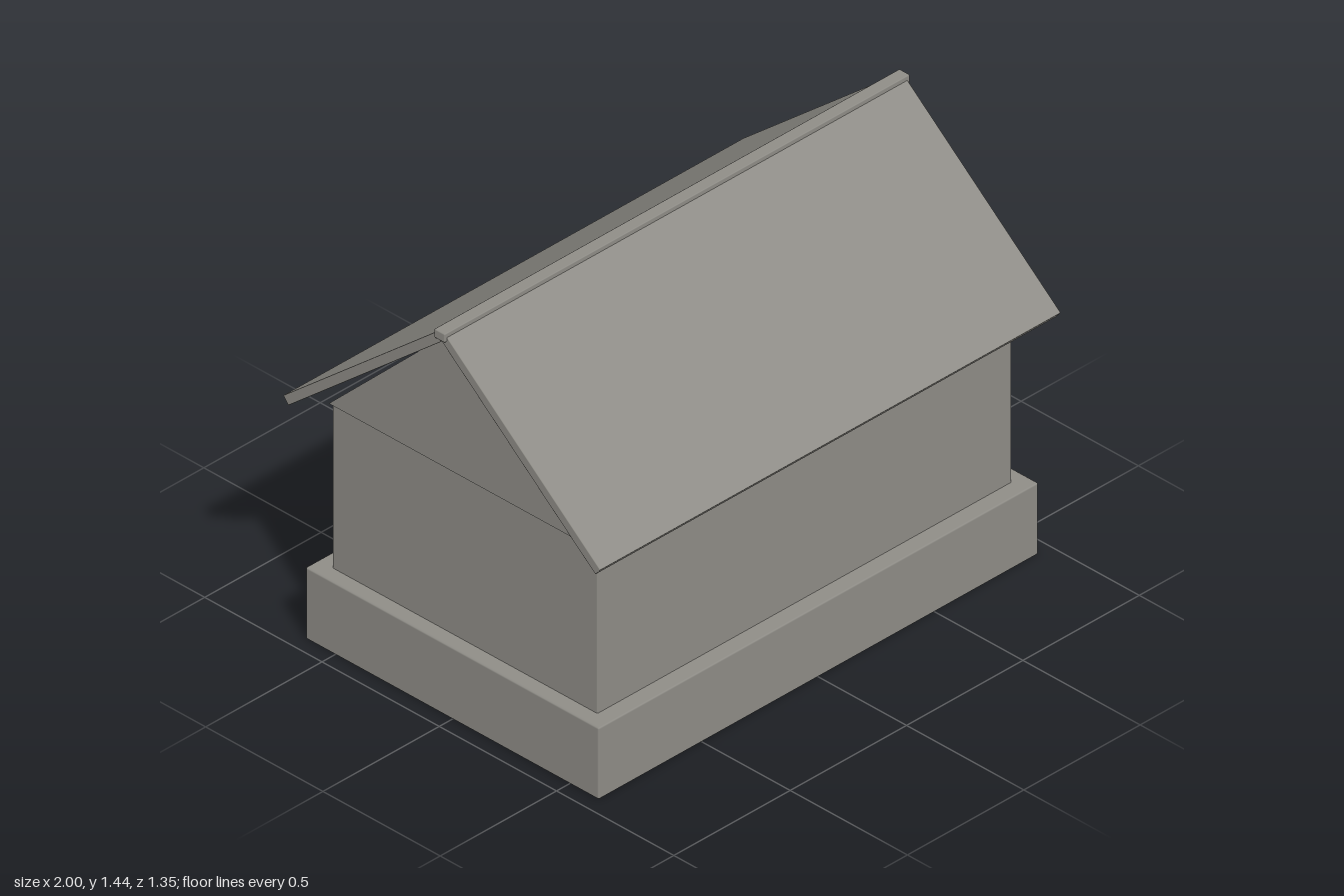
import * as THREE from 'three';
import { RoundedBoxGeometry } from 'three/addons/geometries/RoundedBoxGeometry.js';

export function createModel() {
  const model = new THREE.Group();
  model.name = 'gabledHouse';

  const stone = new THREE.MeshStandardMaterial({ color: 0x8f8d87 });
  stone.name = 'stone grey';

  function add(name, geometry, x = 0, y = 0, z = 0) {
    const mesh = new THREE.Mesh(geometry, stone);
    mesh.name = name;
    mesh.position.set(x, y, z);
    model.add(mesh);
    return mesh;
  }

  // Box with a very fine softened edge
  const block = (w, h, d, edge = 0.006) => new RoundedBoxGeometry(w, h, d, 1, edge);

  // Plinth and walls
  add('foundation', block(1.89, 0.26, 1.25), 0, 0.13, 0);
  add('walls', block(1.78, 0.62, 1.13, 0.004), 0, 0.548, 0);

  // Triangular attic, slightly wider than the walls
  const triangle = new THREE.Shape([
    new THREE.Vector2(-0.575, 0.855),
    new THREE.Vector2(0.575, 0.855),
    new THREE.Vector2(0, 1.41),
  ]);
  const length = 1.79;
  const attic = new THREE.ExtrudeGeometry(triangle, { depth: length, bevelEnabled: false });
  attic.translate(0, 0, -length / 2).rotateY(Math.PI / 2);
  add('gable', attic);

  // Two sloping roof slabs
  const pitch = Math.atan2(0.54, 0.655);
  for (const side of [1, -1]) {
    const slab = add(side > 0 ? 'frontRoof' : 'backRoof',
      block(1.98, 0.034, 0.849, 0.003), 0, 1.138, side * 0.338);
    slab.rotation.x = side * pitch;
  }

  // Ridge cap
  add('ridgeCap', block(2, 0.032, 0.045, 0.004), 0, 1.42, 0);

  return model;
}
